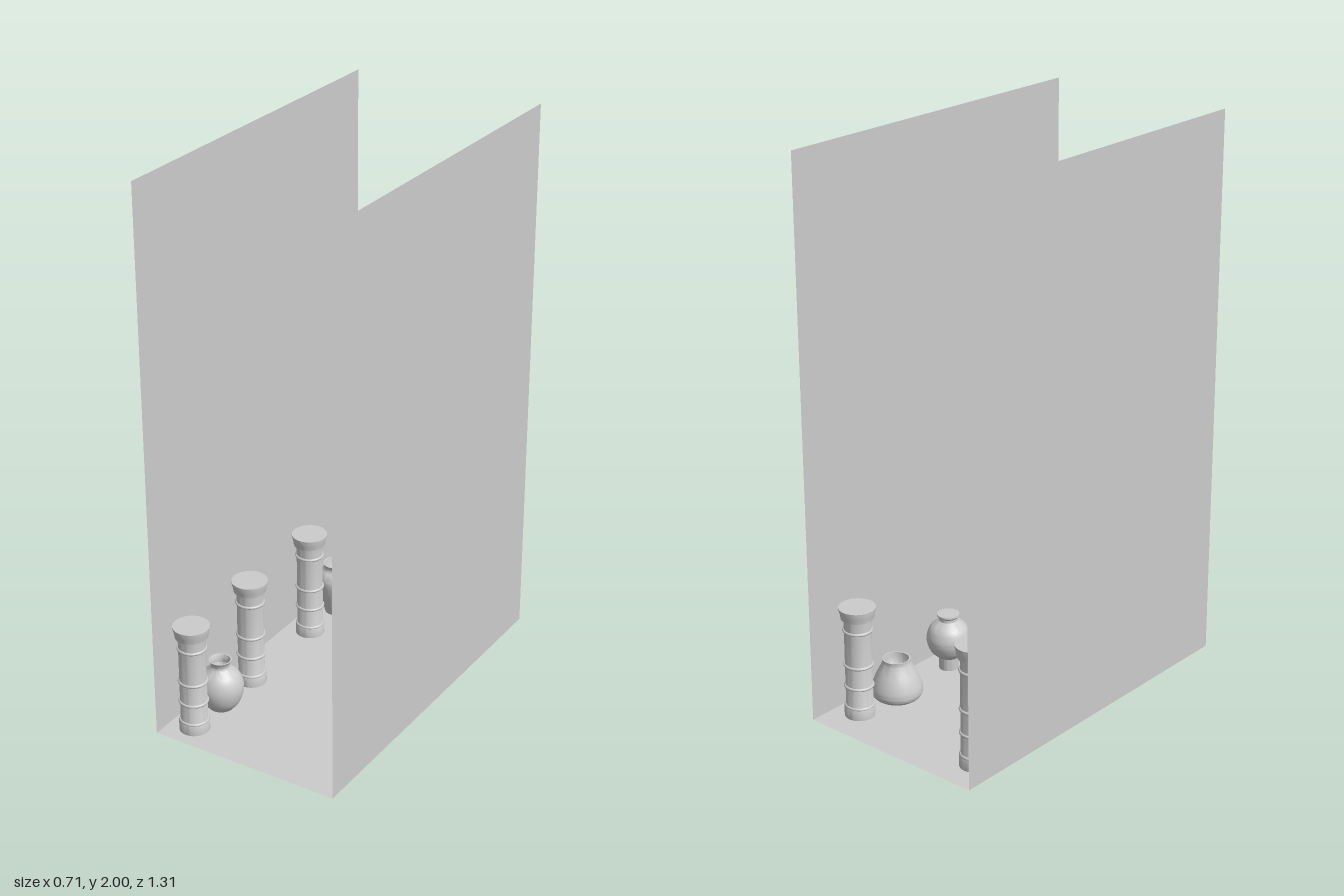
import * as THREE from 'three';
import { toCreasedNormals } from 'three/addons/utils/BufferGeometryUtils.js';

const material = new THREE.MeshStandardMaterial({ color: 0xcccccc, side: THREE.DoubleSide });

// Turned part; corners sharper than the crease angle stay crisp
function turned(name, points, crease = 0.6) {
  const profile = points.map(([r, y]) => new THREE.Vector2(r, y));
  const mesh = new THREE.Mesh(toCreasedNormals(new THREE.LatheGeometry(profile, 40), crease), material);
  mesh.name = name;
  return mesh;
}

// Smooth outline through a few radius/height points
function curved(points, steps = 24) {
  const curve = new THREE.SplineCurve(points.map(([r, y]) => new THREE.Vector2(r, y)));
  return curve.getPoints(steps).map((p) => [Math.max(p.x, 0), p.y]);
}

// Column: plinth, banded shaft and flared capital
function column() {
  const group = new THREE.Group();
  group.name = 'column';
  group.add(turned('shaft', [
    [0, 0], [0.053, 0], [0.053, 0.035], [0.047, 0.045],
    [0.047, 0.365], [0.057, 0.37], [0.059, 0.385], [0.064, 0.405], [0.064, 0.41], [0, 0.41],
  ]));
  for (const y of [0.04, 0.115, 0.195, 0.325]) {
    const ring = new THREE.Mesh(new THREE.TorusGeometry(0.047, 0.0055, 8, 40), material);
    ring.rotation.x = Math.PI / 2;
    ring.position.y = y;
    ring.name = 'shaftRing';
    group.add(ring);
  }
  return group;
}

export function createModel() {
  const model = new THREE.Group();
  model.name = 'corridor';

  // Floor
  const floor = new THREE.Mesh(new THREE.PlaneGeometry(0.71, 1.31), material);
  floor.rotation.x = -Math.PI / 2;
  floor.name = 'floor';
  model.add(floor);

  // Side walls
  for (const side of [-1, 1]) {
    const wall = new THREE.Mesh(new THREE.PlaneGeometry(1.31, 2), material);
    wall.rotation.y = side * Math.PI / 2;
    wall.position.set(side * 0.355, 1, 0);
    wall.name = side > 0 ? 'leftWall' : 'rightWall';
    model.add(wall);
  }

  // Columns: x, z, height scale
  const columns = [
    [-0.263, -0.52, 1.09], [-0.263, -0.175, 1], [-0.263, 0.21, 1],
    [-0.263, 0.56, 1], [0.262, -0.52, 1], [0.262, 0.21, 1],
  ];
  for (const [x, z, height] of columns) {
    const item = column();
    item.position.set(x, 0, z);
    item.scale.y = height;
    model.add(item);
  }

  // Squat vase with a narrow open neck
  const squat = turned('squatVase', [
    [0, 0], ...curved([[0.045, 0], [0.07, 0.035], [0.08, 0.085], [0.066, 0.13], [0.036, 0.16], [0.033, 0.175], [0.04, 0.19]]),
    [0.035, 0.19], [0.028, 0.175], [0.03, 0.16], [0.02, 0.14], [0, 0.135],
  ]);
  squat.position.set(-0.262, 0, 0.4);

  // Taller vase with a wide lip
  const lipped = turned('lippedVase', [
    [0, 0], ...curved([[0.04, 0], [0.052, 0.05], [0.068, 0.13], [0.06, 0.165], [0.042, 0.185], [0.046, 0.205]]),
    [0.04, 0.205], [0.036, 0.185], [0.025, 0.16], [0, 0.15],
  ]);
  lipped.position.set(-0.261, 0, -0.35);

  // Tapered jar, widest near its foot
  const jar = turned('taperedJar', [
    [0, 0], ...curved([[0.065, 0], [0.085, 0.015], [0.09, 0.04], [0.078, 0.08], [0.056, 0.125], [0.048, 0.145], [0.049, 0.152]]),
    [0.043, 0.152], [0.042, 0.135], [0.035, 0.105], [0.018, 0.088], [0, 0.083],
  ]);
  jar.position.set(0.246, 0, -0.35);

  // Globe flask with a closed flat top
  const flask = turned('globeFlask', [
    [0, 0], [0.035, 0], [0.035, 0.045],
    ...curved([[0.042, 0.05], [0.066, 0.074], [0.079, 0.118], [0.066, 0.162], [0.034, 0.19]]),
    [0.033, 0.2], [0.04, 0.207], [0.04, 0.213], [0, 0.213],
  ]);
  flask.position.set(0.255, 0, -0.07);

  model.add(squat, lipped, jar, flask);
  return model;
}
